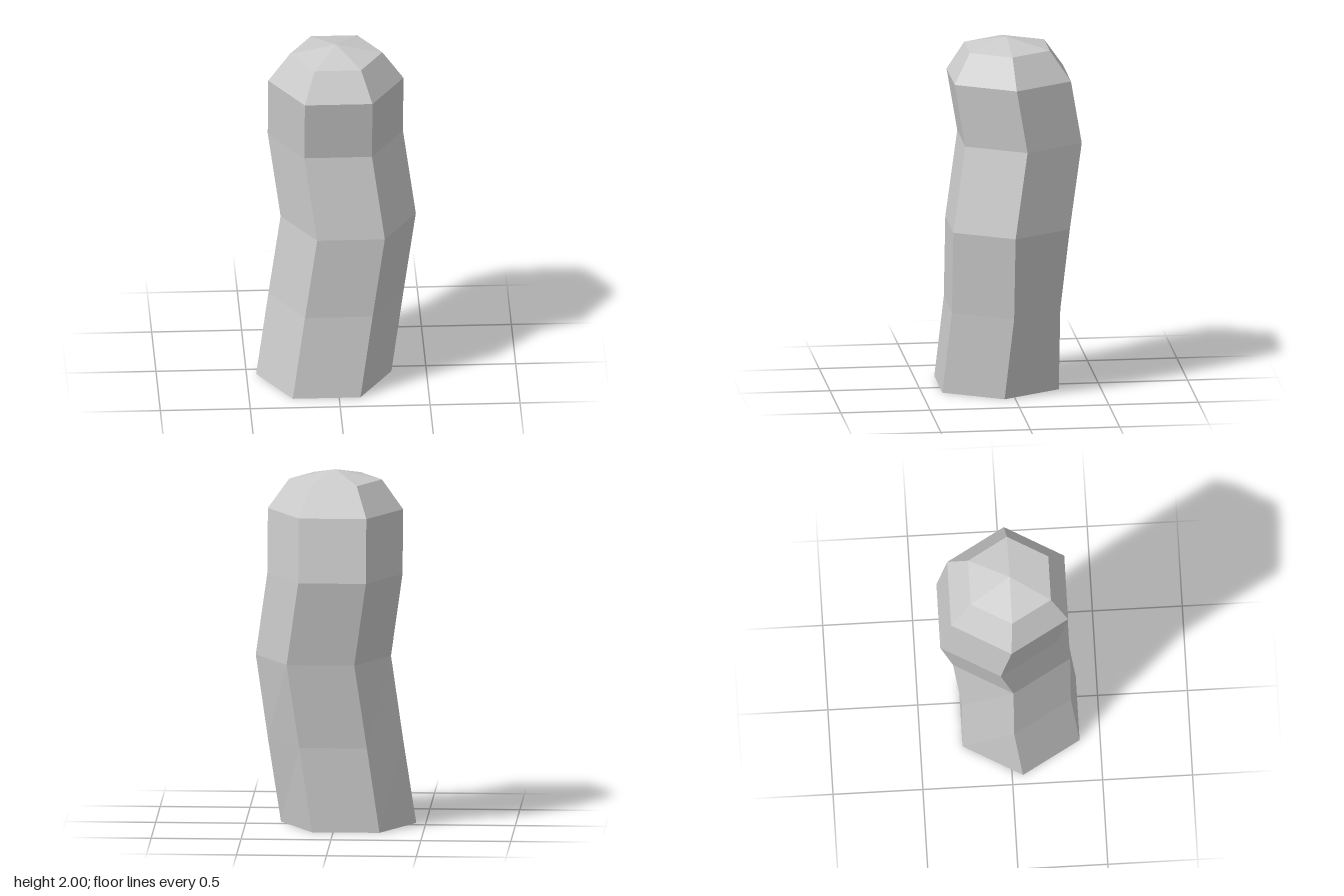
import * as THREE from 'three';

// Rings from bottom to top: height, centre x, centre z, radius, shift of the back edge
const RINGS = [
  [0, -0.07, 0.06, 0.376, 0],
  [0.475, 0, 0.015, 0.376, 0.045],
  [0.95, 0.068, 0.015, 0.376, 0],
  [1.425, 0, -0.06, 0.376, 0],
  [1.78, 0, 0, 0.376, 0],
  [1.945, 0, 0.01, 0.258, 0],
];
const SIDES = 6;

function ringPoint([y, cx, cz, r, backShift], k) {
  const a = (k % SIDES) * Math.PI * 2 / SIDES;
  const s = Math.sin(a);
  return [cx + r * Math.cos(a), y, cz + r * s + (s < -0.1 ? backShift : 0)];
}

function pillarGeometry() {
  const positions = [];
  const tri = (a, b, c) => positions.push(...a, ...b, ...c);
  const base = RINGS[0], top = RINGS[RINGS.length - 1];
  const baseCentre = [base[1], 0, base[2]];
  const apex = [0, 2, 0.012];

  for (let k = 0; k < SIDES; k++) {
    // Walls and bevelled shoulder
    for (let i = 0; i < RINGS.length - 1; i++) {
      const a = ringPoint(RINGS[i], k), b = ringPoint(RINGS[i], k + 1);
      const c = ringPoint(RINGS[i + 1], k), d = ringPoint(RINGS[i + 1], k + 1);
      tri(a, c, b);
      tri(b, c, d);
    }
    // Pointed cap and flat underside
    tri(ringPoint(top, k), apex, ringPoint(top, k + 1));
    tri(ringPoint(base, k), ringPoint(base, k + 1), baseCentre);
  }

  const geometry = new THREE.BufferGeometry();
  geometry.setAttribute('position', new THREE.Float32BufferAttribute(positions, 3));
  geometry.computeVertexNormals();
  return geometry;
}

export function createModel() {
  const group = new THREE.Group();
  const material = new THREE.MeshStandardMaterial({ color: 0xcccccc, flatShading: true });
  const pillar = new THREE.Mesh(pillarGeometry(), material);
  pillar.name = 'bentHexagonalPillar';
  group.add(pillar);
  return group;
}
